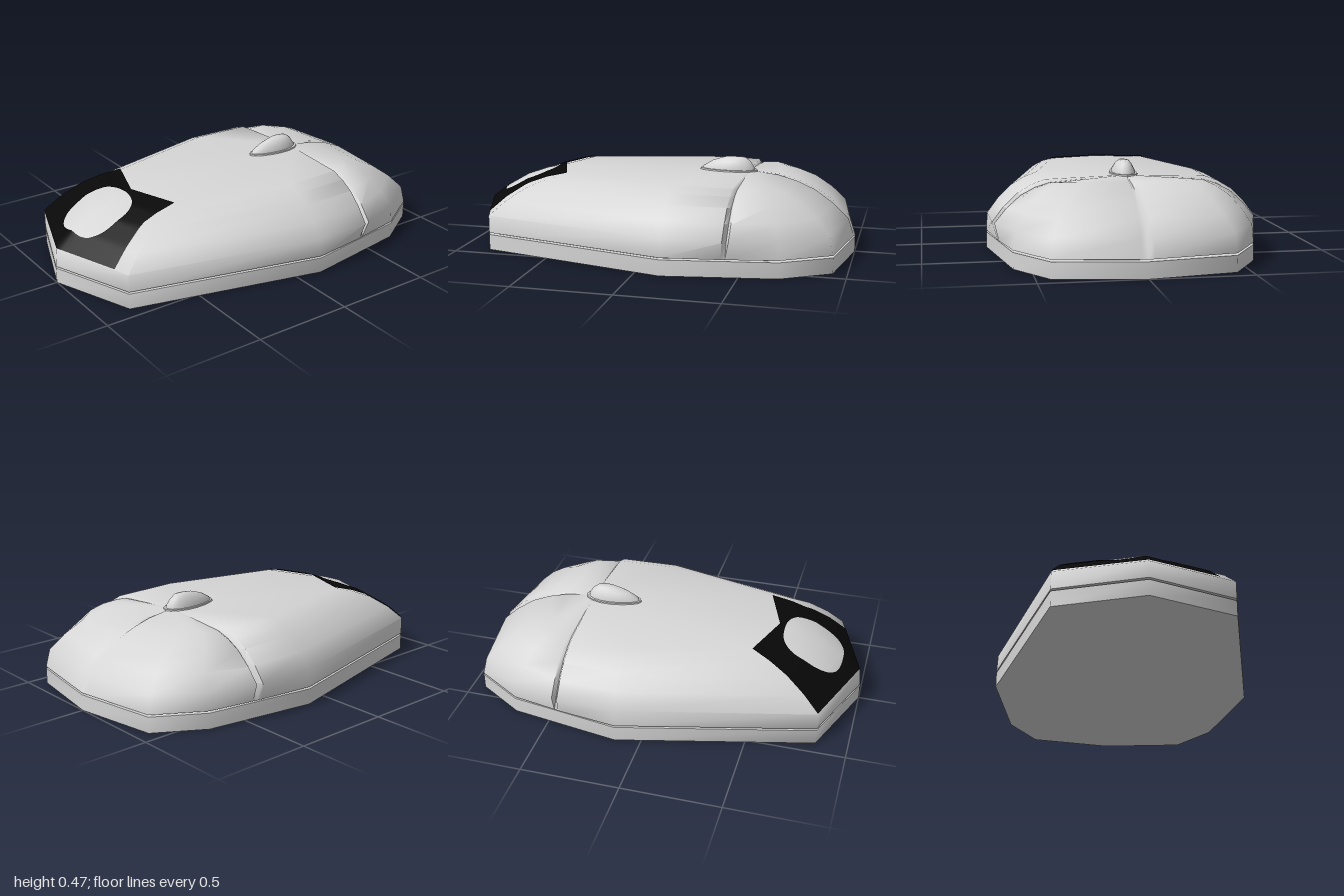
import * as THREE from 'three';
import { toCreasedNormals } from 'three/addons/utils/BufferGeometryUtils.js';

const body = new THREE.MeshStandardMaterial({ color: 0xd6d6d6 });
body.name = 'pale grey plastic';
const black = new THREE.MeshStandardMaterial({ color: 0x080808, side: THREE.DoubleSide });
black.name = 'black plate';

// Skin closed rings of [x, y, z], listed bottom to top; ends close to a given apex or the ring middle
function loft(rings, crease, apex) {
  const n = rings[0].length;
  const pos = rings.flat(2);
  const index = [];
  for (let r = 0; r < rings.length - 1; r++) {
    for (let i = 0; i < n; i++) {
      const j = (i + 1) % n;
      const a = r * n + i, b = r * n + j;
      index.push(a, b, b + n, a, b + n, a + n);
    }
  }
  const middle = (ring) => [0, 1, 2].map((k) => ring.reduce((s, p) => s + p[k], 0) / n);
  const top = rings.length - 1;
  const low = rings.length * n;
  pos.push(...middle(rings[0]), ...(apex || middle(rings[top])));
  for (let i = 0; i < n; i++) {
    const j = (i + 1) % n;
    index.push(low, j, i, low + 1, top * n + i, top * n + j);
  }
  const g = new THREE.BufferGeometry();
  g.setAttribute('position', new THREE.Float32BufferAttribute(pos, 3));
  g.setIndex(index);
  return toCreasedNormals(g, crease);
}

// Complete a half ring that runs from the front centre to the back centre
const mirrorRing = (half) =>
  [...half, ...half.slice(1, -1).reverse().map(([x, y, z]) => [-x, y, z])];

const outline = [[0, 1], [0.43, 0.84], [0.67, -0.13], [0.58, -0.69], [0.43, -0.93], [0, -1]];
const slab = (y, s) => mirrorRing(outline.map(([x, z]) => [x * s, y, z * s]));

// Shell columns: [foot x, z, shoulder x, z, crown x, z, drop]
const columns = [
  [0, 1, 0, 0.99, 0, 0.56, 0],
  [0.43, 0.84, 0.43, 0.84, 0.26, 0.47, 0],
  [0.67, -0.13, 0.665, -0.13, 0.41, -0.13, 0],
  [0.632, -0.42, 0.66, -0.43, 0.40, -0.43, 0],   // front edge of the seam
  [0.628, -0.44, 0.62, -0.445, 0.36, -0.445, 0.015], // bottom of the seam
  [0.624, -0.46, 0.65, -0.46, 0.38, -0.46, 0.012],  // button edge of the seam
  [0.58, -0.69, 0.57, -0.69, 0.36, -0.54, 0.003],
  [0.43, -0.93, 0.42, -0.91, 0.27, -0.58, 0],
  [0.03, -0.995, 0.03, -0.965, 0.015, -0.6, 0],
  [0, -1, 0, -0.95, 0, -0.59, 0.01],            // split between the buttons
];
// Dome section: [inset from shoulder to crown, height]
const dome = [[0, 0.18], [0.22, 0.255], [0.48, 0.32], [0.74, 0.36], [1, 0.385]];

function shellGeometry() {
  const rings = [mirrorRing(columns.map((c) => [c[0], 0.09, c[1]]))];
  for (const [t, y] of dome) {
    rings.push(mirrorRing(columns.map((c) => [
      THREE.MathUtils.lerp(c[2], c[4], t), y - c[6] * t, THREE.MathUtils.lerp(c[3], c[5], t),
    ])));
  }
  return loft(rings, 1.1, [0, 0.4, -0.445]);
}

// Height of the sloping front of the shell
function frontHeight(x, z) {
  const t = THREE.MathUtils.clamp((0.99 - z - 0.349 * Math.abs(x)) / 0.43, 0, 1);
  let k = 0;
  while (k < dome.length - 2 && t > dome[k + 1][0]) k++;
  const [t0, y0] = dome[k], [t1, y1] = dome[k + 1];
  return y0 + (y1 - y0) * (t - t0) / (t1 - t0);
}

// Thin black plate with a plain rounded opening, laid over the front slope
function plateGeometry() {
  const edge = [[-0.43, 0.84], [0, 0.99], [0.35, 0.868], [0.27, 0.65],
    [0.26, 0.47], [0, 0.56], [-0.26, 0.47], [-0.345, 0.655]];
  const cx = -0.02, cz = 0.745, steps = 10, rows = 8;
  const pos = [], index = [];
  const count = edge.length * steps;
  for (let i = 0; i < count; i++) {
    const a = edge[Math.floor(i / steps)];
    const b = edge[(Math.floor(i / steps) + 1) % edge.length];
    const f = (i % steps) / steps;
    const dx = a[0] + (b[0] - a[0]) * f - cx;
    const dz = a[1] + (b[1] - a[1]) * f - cz;
    const rim = 1 / Math.pow(Math.abs(dx / 0.175) ** 2.6 + Math.abs(dz / 0.155) ** 2.6, 1 / 2.6);
    for (let r = 0; r <= rows; r++) {
      const s = THREE.MathUtils.lerp(Math.min(rim, 0.98), 1, r / rows);
      const x = cx + dx * s, z = cz + dz * s;
      pos.push(x, frontHeight(x, z) + 0.006, z);
      if (r < rows) {
        const p = i * (rows + 1) + r;
        const q = ((i + 1) % count) * (rows + 1) + r;
        index.push(p, p + 1, q + 1, p, q + 1, q);
      }
    }
  }
  const g = new THREE.BufferGeometry();
  g.setAttribute('position', new THREE.Float32BufferAttribute(pos, 3));
  g.setIndex(index);
  g.computeVertexNormals();
  return g;
}

// Oval ring, narrower toward the front
function oval(y, width, front, back) {
  const mid = (front + back) / 2, half = (front - back) / 2;
  return Array.from({ length: 16 }, (_, i) => {
    const a = (i / 16) * Math.PI * 2;
    return [Math.sin(a) * width * (1 - 0.2 * Math.cos(a)), y, mid + Math.cos(a) * half];
  });
}

export function createModel() {
  const model = new THREE.Group();
  model.name = 'computerMouse';
  const add = (name, geometry, material) => {
    const mesh = new THREE.Mesh(geometry, material);
    mesh.name = name;
    model.add(mesh);
  };

  add('base', loft([slab(0, 1), slab(0.08, 1)], 1.1), body);
  add('baseGap', loft([slab(0.07, 0.955), slab(0.1, 0.955)], 1.1), body);
  add('shell', shellGeometry(), body);
  add('frontPlate', plateGeometry(), black);

  // Scroll wheel and its collar
  add('wheelCollar', loft([oval(0.38, 0.07, -0.18, -0.49), oval(0.404, 0.066, -0.185, -0.485)], 0.7), body);
  add('scrollWheel', loft([
    oval(0.39, 0.056, -0.19, -0.475),
    oval(0.415, 0.055, -0.2, -0.47),
    oval(0.445, 0.04, -0.25, -0.45),
    oval(0.465, 0.025, -0.31, -0.425),
  ], 1.1, [0, 0.469, -0.37]), body);

  return model;
}
